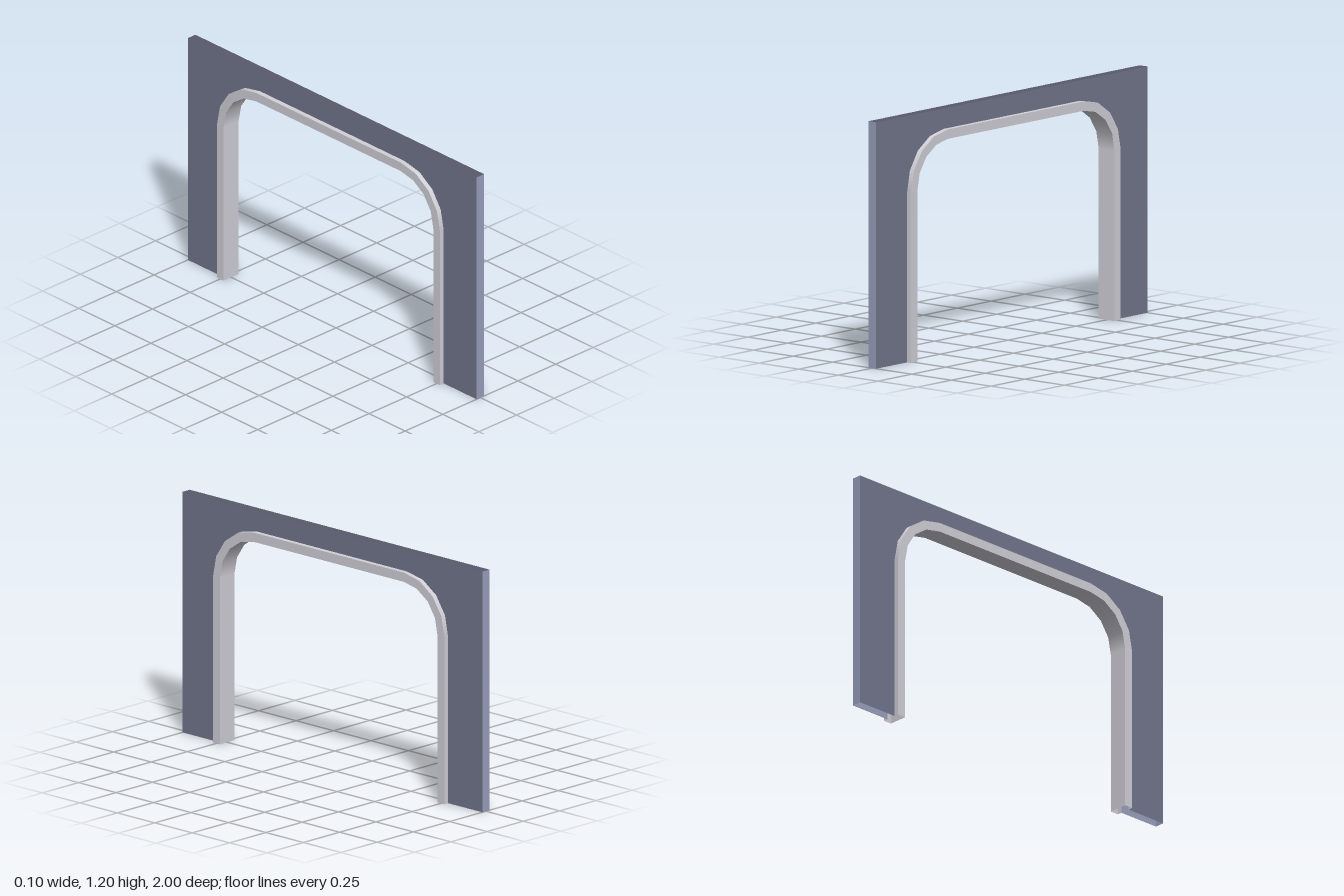
import * as THREE from 'three';

const HALF_LENGTH = 1, HEIGHT = 1.2;
const PANEL_X = 0.025, TRIM_X = 0.05;
const CORNER_Z = 0.5, CORNER_Y = 0.829;
const OUTER_R = 0.272, INNER_R = 0.226;
const CORNER_STEPS = 4;

// Opening outline from the foot at +z to the foot at -z, with radial normals.
function archPath(r) {
  const points = [{ z: CORNER_Z + r, y: 0, nz: 1, ny: 0 }];
  for (const side of [1, -1]) {
    for (let i = 0; i <= CORNER_STEPS; i++) {
      const t = (side > 0 ? i : CORNER_STEPS - i) / CORNER_STEPS * Math.PI / 2;
      const nz = side * Math.cos(t), ny = Math.sin(t);
      points.push({ z: side * CORNER_Z + r * nz, y: CORNER_Y + r * ny, nz, ny });
    }
  }
  points.push({ z: -CORNER_Z - r, y: 0, nz: -1, ny: 0 });
  return points;
}

// Ribbon between two outlines; normalOf gives the outward direction.
function ribbon(a, xa, b, xb, normalOf) {
  const positions = [], normals = [], index = [];
  a.forEach((p, i) => {
    positions.push(xa, p.y, p.z, xb, b[i].y, b[i].z);
    const n = normalOf(p);
    normals.push(...n, ...n);
  });
  // Choose the corner order that agrees with the outward direction.
  const v = k => new THREE.Vector3().fromArray(positions, k * 3);
  const face = v(1).sub(v(0)).cross(v(2).sub(v(0)));
  const forward = face.dot(new THREE.Vector3(...normalOf(a[0]))) > 0;
  for (let i = 0; i < a.length - 1; i++) {
    const k = i * 2;
    if (forward) index.push(k, k + 1, k + 2, k + 1, k + 3, k + 2);
    else index.push(k, k + 2, k + 1, k + 1, k + 2, k + 3);
  }
  const geometry = new THREE.BufferGeometry();
  geometry.setAttribute('position', new THREE.Float32BufferAttribute(positions, 3));
  geometry.setAttribute('normal', new THREE.Float32BufferAttribute(normals, 3));
  geometry.setIndex(index);
  return geometry;
}

function material(name, color) {
  const m = new THREE.MeshStandardMaterial({ color, side: THREE.DoubleSide });
  m.name = name;
  return m;
}

export function createModel() {
  const model = new THREE.Group();
  model.name = 'archedWall';
  const trimGrey = material('trimGrey', 0xd2d0d8);
  const endBlue = material('endBlue', 0x9aa0be);
  const wallBlue = material('wallBlue', 0x72768c);
  const topBlue = material('topBlue', 0x585a6b);

  function add(group, name, geometry, mat) {
    const mesh = new THREE.Mesh(geometry, mat);
    mesh.name = name;
    group.add(mesh);
    return mesh;
  }

  const outer = archPath(OUTER_R), inner = archPath(INNER_R);

  // Hollow wall panel, open at the foot
  const panel = new THREE.Group();
  panel.name = 'wallPanel';
  model.add(panel);
  const shape = new THREE.Shape([
    new THREE.Vector2(-HALF_LENGTH, 0),
    ...outer.slice().reverse().map(p => new THREE.Vector2(p.z, p.y)),
    new THREE.Vector2(HALF_LENGTH, 0),
    new THREE.Vector2(HALF_LENGTH, HEIGHT),
    new THREE.Vector2(-HALF_LENGTH, HEIGHT),
  ]);
  for (const side of [1, -1]) {
    const face = new THREE.ShapeGeometry(shape);
    add(panel, 'wallFace', face.clone().rotateY(side * Math.PI / 2).translate(side * PANEL_X, 0, 0), wallBlue);
    // Pale lining seen through the open foot
    add(panel, 'wallLining', face.rotateY(-side * Math.PI / 2).translate(side * (PANEL_X - 0.001), 0, 0), endBlue);

    const end = new THREE.PlaneGeometry(PANEL_X * 2, HEIGHT);
    if (side < 0) end.rotateY(Math.PI);
    add(panel, 'wallEnd', end.translate(0, HEIGHT / 2, side * HALF_LENGTH), endBlue);
  }
  const top = new THREE.PlaneGeometry(PANEL_X * 2, HALF_LENGTH * 2).rotateX(-Math.PI / 2);
  add(panel, 'wallTop', top.translate(0, HEIGHT, 0), topBlue);

  // Trim channel lining the opening
  const trim = new THREE.Group();
  trim.name = 'archTrim';
  model.add(trim);
  add(trim, 'trimInside', ribbon(inner, -TRIM_X, inner, TRIM_X, p => [0, -p.ny, -p.nz]), trimGrey);
  for (const side of [1, -1]) {
    add(trim, 'trimFace', ribbon(outer, side * TRIM_X, inner, side * TRIM_X, () => [side, 0, 0]), trimGrey);
    add(trim, 'trimLip', ribbon(outer, side * PANEL_X, outer, side * TRIM_X, p => [0, p.ny, p.nz]), trimGrey);
  }
  return model;
}
